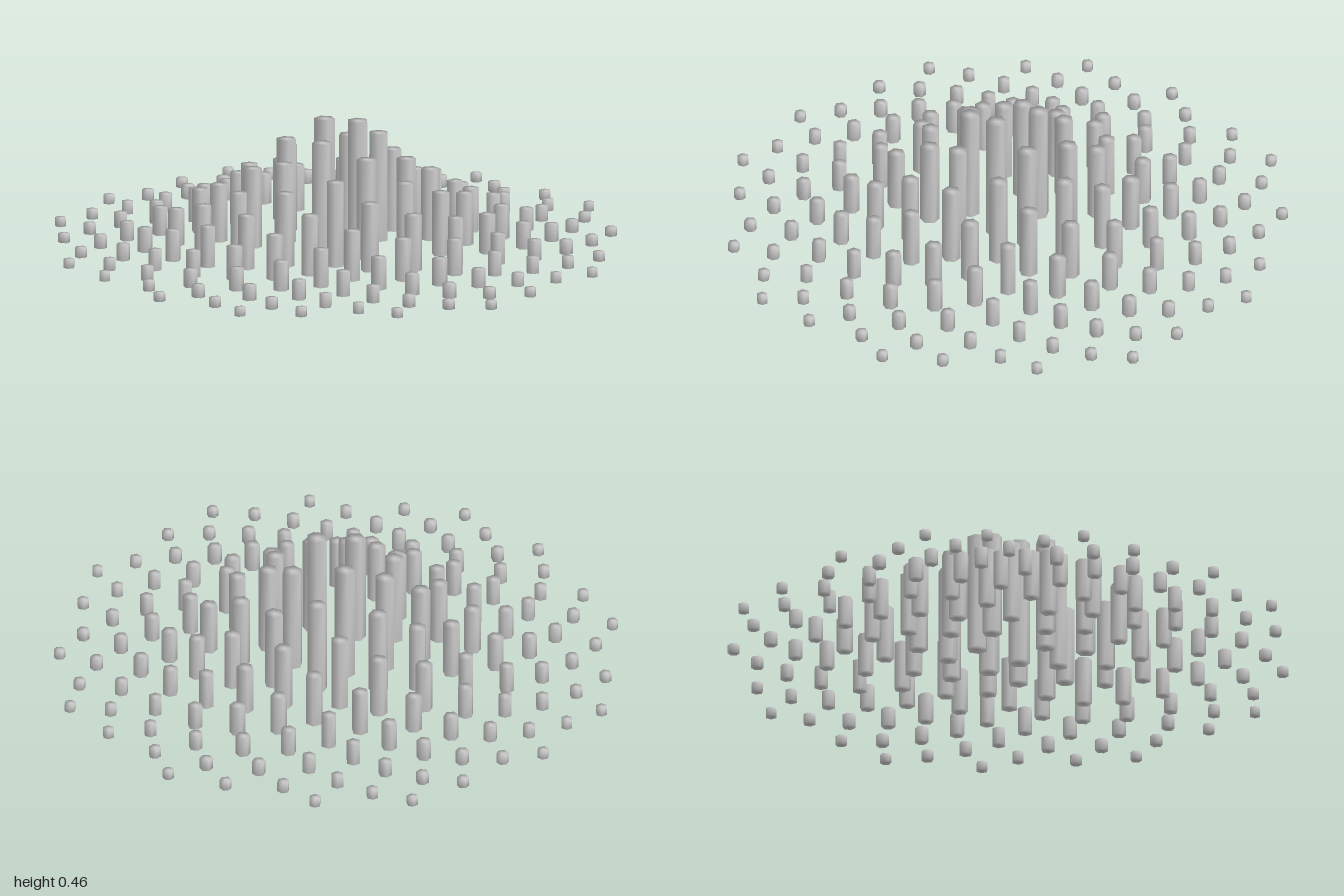
import * as THREE from 'three';
import { mergeVertices } from 'three/addons/utils/BufferGeometryUtils.js';

const COUNT = 150;
const SPREAD = 0.9995;                              // radius of the outermost pillar centre
const GOLDEN_ANGLE = Math.PI * (3 - Math.sqrt(5));

// Closed hexagonal prism standing on y = 0, with normals blended across its edges
function pillarGeometry(radius, height) {
  const prism = new THREE.CylinderGeometry(radius, radius, height, 6, 1, false, Math.PI / 2);
  prism.translate(0, height / 2, 0);
  prism.deleteAttribute('normal');
  prism.deleteAttribute('uv');
  const merged = mergeVertices(prism, 1e-4);
  merged.computeVertexNormals();
  return merged;
}

export function createModel() {
  const model = new THREE.Group();
  model.name = 'pillarField';
  const material = new THREE.MeshStandardMaterial({ color: 0xcccccc });

  // Sunflower spiral of pillars, shorter and thinner towards the rim
  const spiral = new THREE.Group();
  spiral.name = 'pillarSpiral';
  spiral.position.set(-0.0026, 0, -0.005);
  for (let i = 0; i < COUNT; i++) {
    const t = Math.sqrt((i + 1) / COUNT);
    const angle = i * GOLDEN_ANGLE;
    const height = 0.03 + 0.51 * (1 - t) ** 2;
    const radius = 0.039 - 0.019 * t;
    const pillar = new THREE.Mesh(pillarGeometry(radius, height), material);
    pillar.name = `pillar${i + 1}`;
    pillar.position.set(SPREAD * t * Math.cos(angle), 0, -SPREAD * t * Math.sin(angle));
    pillar.rotation.y = angle;                      // one corner points outwards
    spiral.add(pillar);
  }
  model.add(spiral);
  return model;
}
